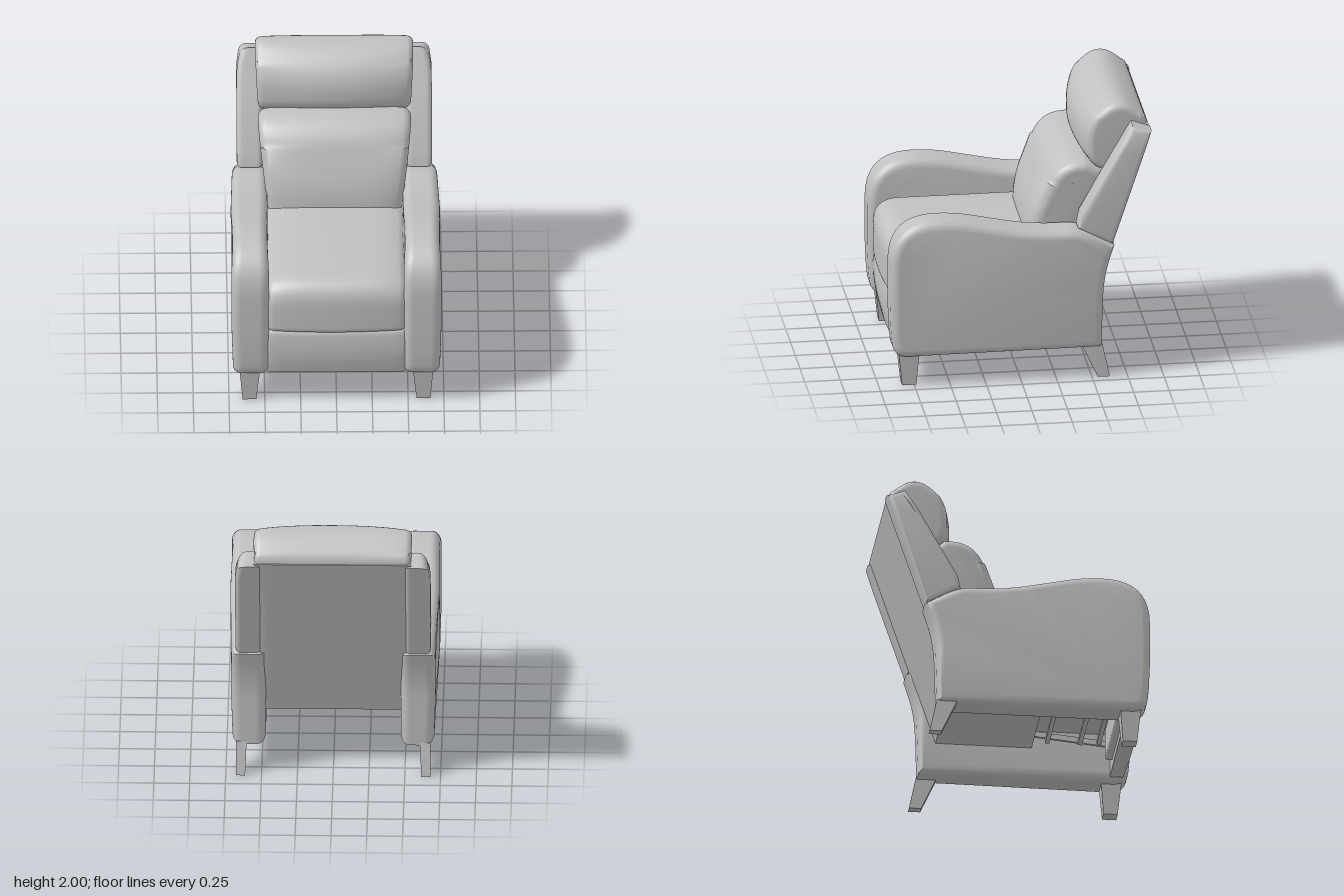
import * as THREE from 'three';
import { toCreasedNormals } from 'three/addons/utils/BufferGeometryUtils.js';
import { RoundedBoxGeometry } from 'three/addons/geometries/RoundedBoxGeometry.js';

// Side outline in (z, y); each point may carry a corner trim length.
function outline(points) {
  const pts = points.map(([z, y, r = 0]) => ({ p: new THREE.Vector2(z, y), r }));
  const shape = new THREE.Shape();
  pts.forEach(({ p, r }, i) => {
    const prev = pts[(i + pts.length - 1) % pts.length].p;
    const next = pts[(i + 1) % pts.length].p;
    const a = p.clone().add(prev.clone().sub(p).setLength(r));
    const b = p.clone().add(next.clone().sub(p).setLength(r));
    if (i === 0) shape.moveTo(a.x, a.y);
    else shape.lineTo(a.x, a.y);
    if (r > 0) shape.quadraticCurveTo(p.x, p.y, b.x, b.y);
  });
  shape.closePath();
  return shape;
}

// Upholstered block: side outline swept across x with rounded edges, then shaped by a rule.
function padded(points, width, bevel, rule) {
  const geo = new THREE.ExtrudeGeometry(outline(points), {
    depth: width - 2 * bevel, steps: 14, curveSegments: 10,
    bevelEnabled: true, bevelSize: bevel, bevelThickness: bevel, bevelOffset: -bevel, bevelSegments: 6,
  });
  geo.translate(0, 0, bevel - width / 2);
  geo.rotateY(-Math.PI / 2);
  const pos = geo.attributes.position;
  const v = new THREE.Vector3();
  for (let i = 0; i < pos.count; i++) {
    rule(v.fromBufferAttribute(pos, i));
    pos.setXYZ(i, v.x, v.y, v.z);
  }
  return toCreasedNormals(geo, 0.8);
}

// Four-sided leg between a top and a bottom rectangle [x0, x1, z0, z1].
function legGeometry(top, bottom, height) {
  const geo = new THREE.BoxGeometry(1, 1, 1);
  const pos = geo.attributes.position;
  for (let i = 0; i < pos.count; i++) {
    const up = pos.getY(i) > 0;
    const r = up ? top : bottom;
    pos.setXYZ(i, pos.getX(i) > 0 ? r[1] : r[0], up ? height : 0, pos.getZ(i) > 0 ? r[3] : r[2]);
  }
  geo.computeVertexNormals();
  return geo;
}

export function createModel() {
  const group = new THREE.Group();
  const grey = new THREE.MeshStandardMaterial({ color: 0xc0c0c0 });
  grey.name = 'upholstery grey';
  const clamp = THREE.MathUtils.clamp;

  const add = (name, geo, x = 0, y = 0, z = 0) => {
    const mesh = new THREE.Mesh(geo, grey);
    mesh.name = name;
    mesh.position.set(x, y, z);
    group.add(mesh);
    return mesh;
  };

  // Seat cushion and closed footrest panel
  add('seatCushion', padded(
    [[0.92, 0.595, 0.05], [0.92, 1.005, 0.18], [-0.45, 1.005], [-0.45, 0.595]], 0.99, 0.06,
    (v) => {
      const e = (v.x / 0.495) ** 2;
      if (v.z > 0.4) v.z -= 0.03 * e;
      if (v.y > 0.8) v.y -= 0.05 * e * e;
    }));
  add('footrestPanel', padded(
    [[0.88, 0.25], [0.92, 0.42, 0.13], [0.895, 0.605, 0.04], [0.77, 0.605], [0.77, 0.25]], 0.98, 0.03,
    (v) => {
      const e = (v.x / 0.49) ** 2;
      if (v.y < 0.35) v.y += 0.006 - 0.012 * e;
      if (v.z > 0.8) v.z -= 0.02 * e;
    }));

  // Lumbar and head cushions
  add('lumbarCushion', padded(
    [[-0.06, 0.94], [-0.07, 1.12, 0.12], [-0.26, 1.58, 0.2], [-0.5, 1.58], [-0.66, 1.45], [-0.4, 0.94]],
    1.0, 0.055,
    (v) => {
      const e = (v.x / 0.5) ** 2;
      const front = clamp((v.z + 0.45) / 0.3, 0, 1);
      v.z -= 0.05 * e * e * front;
      if (v.y > 1.4) v.y -= 0.035 * e;
      v.x *= 0.95 + 0.12 * clamp((v.y - 1) / 0.5, 0, 1);
    }));
  add('headCushion', padded(
    [[-0.6, 1.485], [-0.425, 1.57, 0.11], [-0.425, 1.86, 0.15], [-0.68, 2.038, 0.15],
      [-0.94, 1.87, 0.12], [-0.79, 1.55]], 1.08, 0.045,
    (v) => {
      const e = (v.x / 0.54) ** 2;
      const front = clamp((v.z + 0.85) / 0.4, 0, 1);
      v.z -= 0.07 * e * front;
      if (v.y < 1.65) v.y -= 0.03 * e * front;
      if (v.y > 1.9) v.y -= 0.015 * e * e;
      v.x *= 0.985 + 0.04 * clamp((v.y - 1.5) / 0.45, 0, 1);
    }));

  // Back shell, narrowing down between the arms
  add('backShell', padded(
    [[-0.915, 1.83], [-0.64, 1.0], [-0.455, 0.44], [-0.34, 0.44], [-0.4, 1.0], [-0.83, 1.83]], 1.1, 0.008,
    (v) => { v.x *= 0.87 + 0.13 * clamp((v.y - 0.44) / 0.9, 0, 1); }));

  // Underside deck and mechanism
  add('seatDeck', new THREE.BoxGeometry(0.96, 0.16, 0.66), 0, 0.52, -0.11);
  add('seatBase', new THREE.BoxGeometry(0.96, 0.06, 0.6), 0, 0.6, 0.5);
  add('footrestTray', new RoundedBoxGeometry(0.7, 0.24, 0.06, 3, 0.02), 0, 0.43, 0.75);
  for (const z of [0.32, 0.55, 0.68]) {
    add('mechanismCrossBar', new THREE.BoxGeometry(0.8, 0.03, 0.03), 0, 0.46, z);
  }

  for (const s of [1, -1]) {
    // Arms with a sweeping top, drawn in slightly toward the front foot
    const arm = padded(
      [[0.922, 0.22, 0.1], [0.922, 0.42], [0.922, 0.6], [0.922, 1.242, 0.35], [0.45, 1.232, 0.11],
        [-0.1, 1.11, 0.2], [-0.42, 1.115, 0.1], [-0.66, 0.98], [-0.585, 0.75, 0.16], [-0.57, 0.22]], 0.26, 0.06,
      (v) => {
        if (v.z > 0.5) v.z -= 0.028 * clamp((0.6 - v.y) / 0.38, 0, 1) ** 2;
        if (v.x * s > 0) {
          v.x -= s * 0.02 * clamp((0.1 - v.z) / 0.7, 0, 1);
          v.x -= s * 0.012 * clamp((0.6 - v.y) / 0.4, 0, 1);
        }
        v.x -= v.x * 0.15 * clamp((v.y - 1.05) / 0.18, 0, 1) ** 2;
      });
    add(s > 0 ? 'leftArm' : 'rightArm', arm, s * 0.602);

    // Side wings of the backrest, rounded off toward the top outer corner
    add(s > 0 ? 'leftWing' : 'rightWing', padded(
      [[-0.405, 1.115], [-0.425, 1.21], [-0.687, 1.68], [-0.737, 1.77], [-0.79, 1.865], [-0.925, 1.815],
        [-0.88, 1.68], [-0.648, 0.985]],
      0.18, 0.035,
      (v) => {
        if (v.x * s > 0) {
          const t = clamp((v.y - 1.68) / 0.18, 0, 1) ** 2;
          v.x -= s * 0.035 * t;
          v.y -= 0.03 * t * (v.x / 0.09) ** 2;
        }
      }), s * 0.592);

    // Legs
    const mirrorX = (r) => (s > 0 ? r : [-r[1], -r[0], r[2], r[3]]);
    add('frontLeg', legGeometry(
      mirrorX([0.535, 0.675, 0.715, 0.86]), mirrorX([0.56, 0.655, 0.735, 0.835]), 0.24));
    add('backLeg', legGeometry(
      mirrorX([0.605, 0.678, -0.575, -0.43]), mirrorX([0.615, 0.678, -0.625, -0.54]), 0.24));

    // Linkage rails under the seat
    const rail = add('mechanismRail', new THREE.BoxGeometry(0.02, 0.04, 0.62), s * 0.38, 0.48, 0.45);
    rail.rotation.x = 0.1;
  }
  return group;
}
